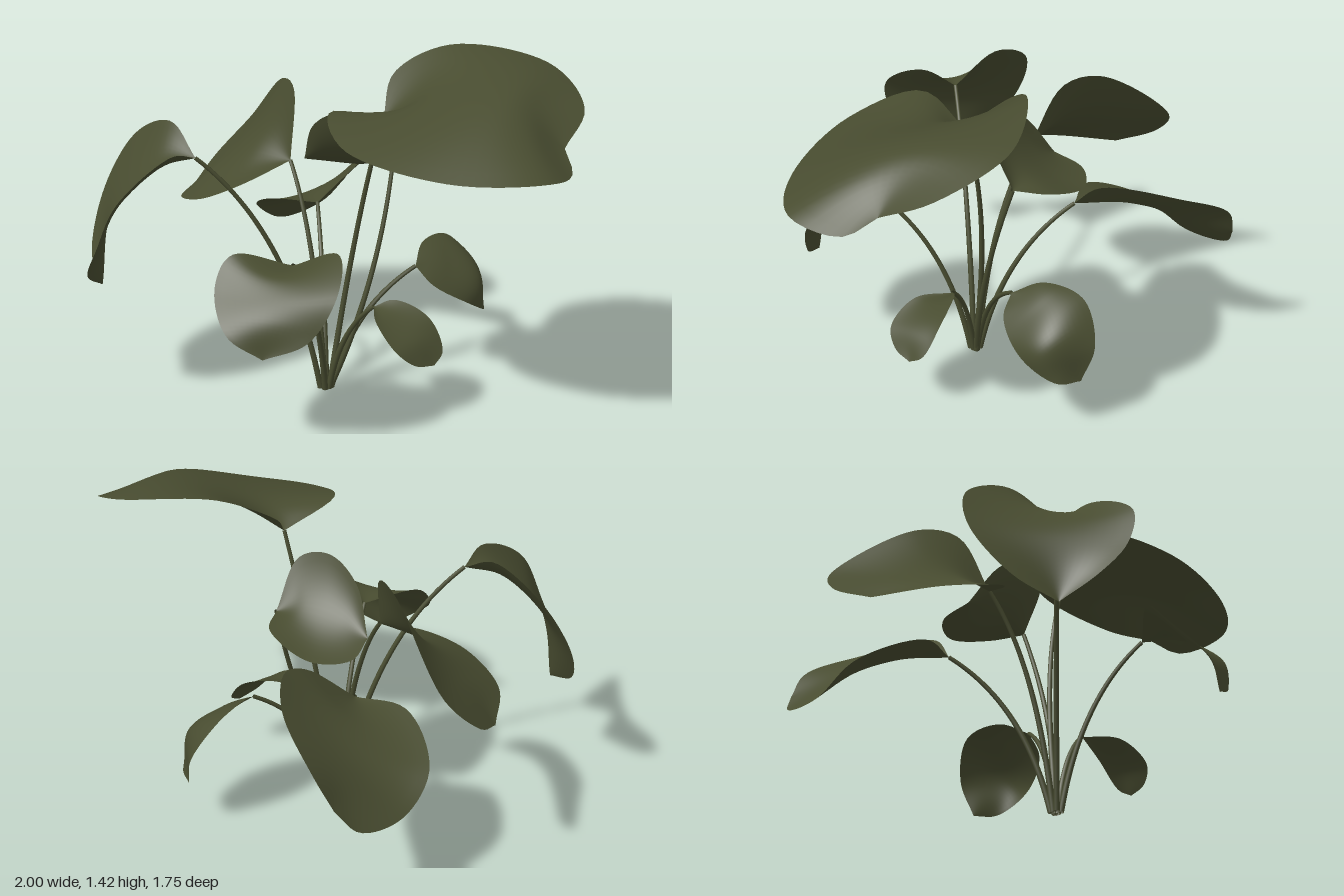
import * as THREE from 'three';

const CROWN = new THREE.Vector3(-0.02, 0, 0.18);

const V = (p) => new THREE.Vector3(...p);
const spline = (...pts) => new THREE.CatmullRomCurve3(pts.map(V), false, 'centripetal');

// Blade: smooth sheet swept from base to tip, each cross-section a parabola
// through one edge, the midrib and the other edge
function bladeGeometry(edgeA, midrib, edgeB, rows = 36, cols = 16) {
  const pos = [], index = [];
  for (let i = 0; i <= rows; i++) {
    const [A, M, B] = [edgeA, midrib, edgeB].map((curve) => curve.getPointAt(i / rows));
    for (let j = 0; j <= cols; j++) {
      const v = (j / cols) * 2 - 1;
      const p = new THREE.Vector3()
        .addScaledVector(A, (v * (v - 1)) / 2)
        .addScaledVector(M, 1 - v * v)
        .addScaledVector(B, (v * (v + 1)) / 2);
      pos.push(p.x, p.y, p.z);
      if (i < rows && j < cols) {
        const k = i * (cols + 1) + j, n = k + cols + 1;
        index.push(k, k + 1, n, k + 1, n + 1, n);
      }
    }
  }
  const geo = new THREE.BufferGeometry();
  geo.setAttribute('position', new THREE.Float32BufferAttribute(pos, 3));
  geo.setIndex(index);
  geo.computeVertexNormals();
  return geo;
}

// Stem: tube arching from the crown to the leaf base, narrowed on the way;
// bend is the point that pulls its middle
function stemGeometry(base, bend, rows = 32, sides = 8) {
  const end = V(base);
  const foot = CROWN.clone().lerp(new THREE.Vector3(end.x, 0, end.z), 0.05);
  const curve = new THREE.QuadraticBezierCurve3(foot, bend ? V(bend) : foot.clone().lerp(end, 0.25).setY(end.y * 0.7), end);
  const geo = new THREE.TubeGeometry(curve, rows, 0.013, sides, false);
  const p = geo.attributes.position;
  for (let i = 0; i < p.count; i++) {
    const u = Math.floor(i / (sides + 1)) / rows;
    const c = curve.getPointAt(u);
    const q = new THREE.Vector3().fromBufferAttribute(p, i).sub(c).multiplyScalar(1 - 0.35 * u).add(c);
    p.setXYZ(i, q.x, Math.max(q.y, 0), q.z);
  }
  return geo;
}

export function createModel() {
  const green = new THREE.MeshStandardMaterial({ color: 0x484c30, side: THREE.DoubleSide });
  green.name = 'olive green';

  const plant = new THREE.Group();
  plant.name = 'plant';

  function addLeaf(name, { base, tip, mid, edgeA, edgeB, bend }) {
    const [a, m, b] = [edgeA, mid, edgeB].map((pts) => spline(base, ...pts, tip));
    const blade = new THREE.Mesh(bladeGeometry(a, m, b), green);
    blade.name = 'blade';
    const stem = new THREE.Mesh(stemGeometry(base, bend), green);
    stem.name = 'stem';
    const leaf = new THREE.Group();
    leaf.name = name;
    leaf.add(blade, stem);
    plant.add(leaf);
  }

  addLeaf('largeLeftLeaf', {
    base: [0.21, 1.17, 0.17], tip: [0.95, 1.16, 0.35],
    mid: [[0.4, 1.28, 0.23], [0.74, 1.32, 0.31]],
    edgeA: [[0.21, 1.31, -0.01], [0.41, 1.41, -0.11], [0.8, 1.37, -0.1], [0.99, 1.26, 0.14]],
    edgeB: [[0.05, 1.24, 0.37], [0.18, 1.17, 0.63], [0.6, 1.12, 0.76], [0.93, 1.12, 0.68], [1, 1.1, 0.47]],
    bend: [0.08, 0.75, 0.08],
  });

  addLeaf('frontLeaf', {
    base: [-0.05, 0.67, 0.55], tip: [-0.08, 0.4, 0.86],
    mid: [[-0.05, 0.67, 0.71], [-0.06, 0.55, 0.83]],
    edgeA: [[0.16, 0.77, 0.65], [0.2, 0.67, 0.82], [0.1, 0.49, 0.86]],
    edgeB: [[-0.27, 0.72, 0.63], [-0.31, 0.62, 0.72], [-0.22, 0.48, 0.86]],
  });

  addLeaf('rightLeaf', {
    base: [-0.51, 1, 0.34], tip: [-0.88, 0.47, 0.45],
    mid: [[-0.66, 0.97, 0.37], [-0.84, 0.78, 0.41]],
    edgeA: [[-0.66, 1.1, 0.2], [-0.86, 1, 0.09], [-0.98, 0.78, 0.14], [-0.98, 0.55, 0.31]],
    edgeB: [[-0.56, 1.04, 0.48], [-0.71, 0.9, 0.69], [-0.8, 0.71, 0.69], [-0.88, 0.56, 0.6]],
  });

  addLeaf('backRightLeaf', {
    base: [-0.23, 0.9, -0.03], tip: [-0.75, 0.67, -0.33],
    mid: [[-0.4, 0.92, -0.13], [-0.6, 0.81, -0.25]],
    edgeA: [[-0.25, 1.16, -0.16], [-0.34, 1.17, -0.3], [-0.58, 0.9, -0.57], [-0.71, 0.75, -0.5]],
    edgeB: [[-0.4, 0.82, 0.09], [-0.56, 0.75, 0.1], [-0.72, 0.69, -0.06]],
  });

  addLeaf('largeBackLeaf', {
    base: [-0.17, 0.66, -0.22], tip: [-0.23, 0.55, -0.88],
    mid: [[-0.21, 0.66, -0.42], [-0.24, 0.6, -0.68]],
    edgeA: [[0, 0.83, -0.34], [0.06, 0.87, -0.45], [0.02, 0.82, -0.66], [-0.14, 0.69, -0.86]],
    edgeB: [[-0.38, 0.65, -0.25], [-0.52, 0.53, -0.48], [-0.46, 0.42, -0.66], [-0.32, 0.45, -0.85]],
  });

  addLeaf('centreLeaf', {
    base: [0.2, 0.9, -0.02], tip: [-0.2, 0.88, -0.13],
    mid: [[0.08, 0.93, -0.05], [-0.07, 0.92, -0.09]],
    edgeA: [[0.13, 1.1, 0.08], [0, 1.14, 0.06], [-0.13, 1.06, -0.02]],
    edgeB: [[0.19, 0.89, -0.17], [0, 0.83, -0.28], [-0.16, 0.84, -0.25]],
    bend: [0.18, 0.45, 0.13],
  });

  addLeaf('smallBackLeaf', {
    base: [0.3, 0.49, -0.03], tip: [0.5, 0.23, -0.34],
    mid: [[0.4, 0.5, -0.15], [0.53, 0.41, -0.23]],
    edgeA: [[0.3, 0.55, -0.16], [0.37, 0.53, -0.33], [0.47, 0.38, -0.39]],
    edgeB: [[0.38, 0.42, -0.01], [0.51, 0.32, -0.1], [0.55, 0.24, -0.25]],
  });

  addLeaf('smallFrontLeaf', {
    base: [0.19, 0.4, 0.23], tip: [0.47, 0.23, 0.36],
    mid: [[0.28, 0.39, 0.3], [0.4, 0.33, 0.35]],
    edgeA: [[0.27, 0.43, 0.21], [0.42, 0.38, 0.24], [0.49, 0.27, 0.3]],
    edgeB: [[0.24, 0.39, 0.38], [0.34, 0.31, 0.46], [0.41, 0.25, 0.43]],
  });

  return plant;
}
